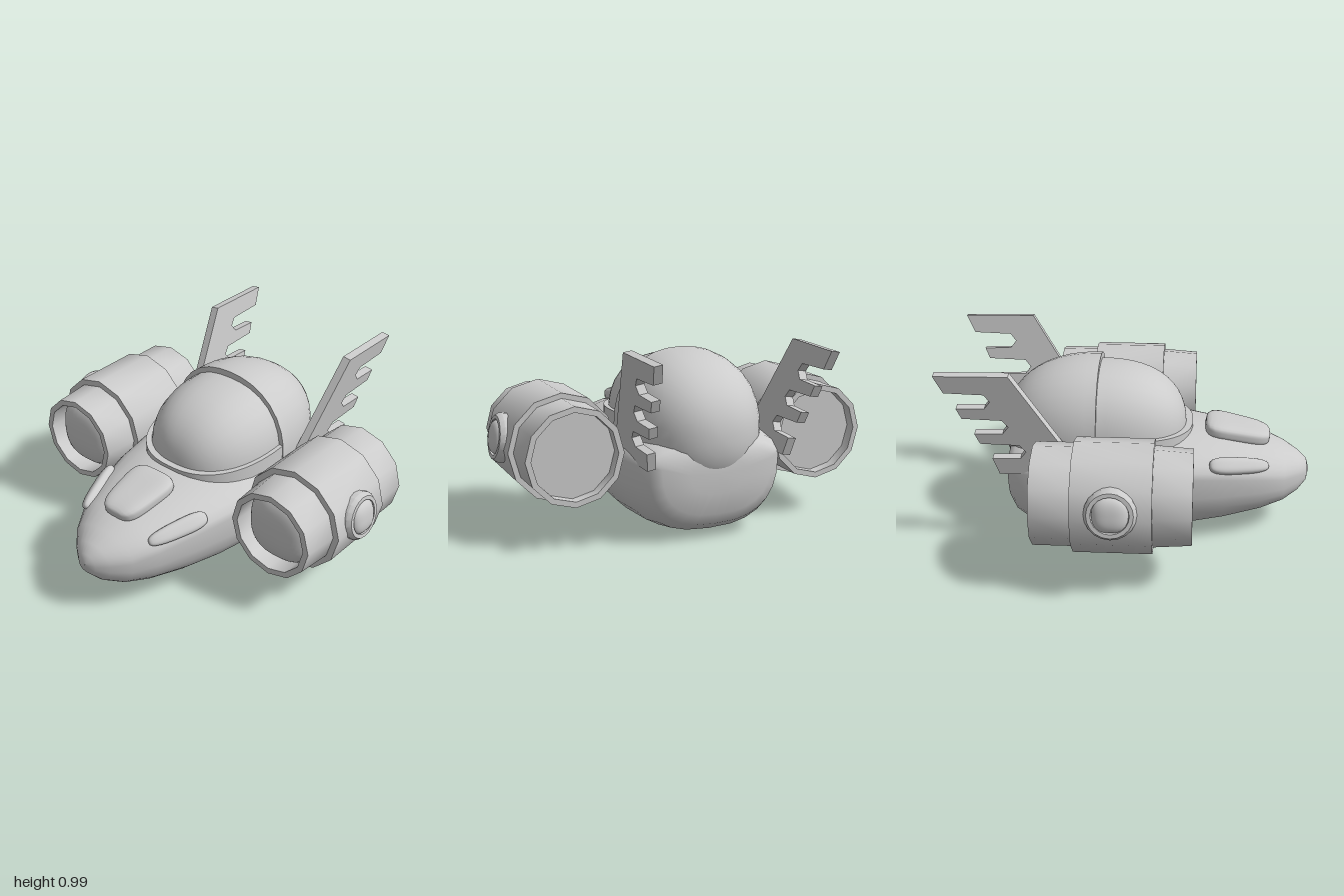
import * as THREE from 'three';
import { mergeVertices, toCreasedNormals } from 'three/addons/utils/BufferGeometryUtils.js';

const grey = new THREE.MeshStandardMaterial({ color: 0xcccccc });
const V = (x, y, z) => new THREE.Vector3(x, y, z);
const spow = (v, p) => Math.sign(v) * Math.abs(v) ** p;

// Skin a list of closed cross-sections
function loft(rows) {
  const n = rows[0].length, index = [];
  for (let i = 0; i < rows.length - 1; i++) {
    for (let j = 0; j < n; j++) {
      const a = i * n + j, b = i * n + (j + 1) % n;
      index.push(a, a + n, b, b, a + n, b + n);
    }
  }
  const geo = new THREE.BufferGeometry().setFromPoints(rows.flat());
  geo.setIndex(index);
  geo.computeVertexNormals();
  return geo;
}

// Squared-off ellipsoid, optionally only the half facing +z or -z, narrowing towards +z
function blob(rx, ry, rz, power, half = 0, taper = 0) {
  let geo = new THREE.SphereGeometry(1, 32, half ? 14 : 20, 0, Math.PI * 2, 0, half ? Math.PI / 2 : Math.PI);
  geo.rotateX(half < 0 ? -Math.PI / 2 : Math.PI / 2);
  const p = geo.attributes.position;
  for (let i = 0; i < p.count; i++) {
    const v = V().fromBufferAttribute(p, i);
    const sum = Math.abs(v.x) ** power + Math.abs(v.y) ** power + Math.abs(v.z) ** power;
    v.multiplyScalar(sum ** (-1 / power));
    p.setXYZ(i, v.x * rx * (1 - taper * v.z), v.y * ry, v.z * rz);
  }
  geo.deleteAttribute('uv');
  geo.deleteAttribute('normal');
  geo = mergeVertices(geo, 1e-5);
  geo.computeVertexNormals();
  return geo;
}

function lathe(points, sides) {
  const geo = new THREE.LatheGeometry(points.map(([r, h]) => new THREE.Vector2(r, h)), sides);
  return toCreasedNormals(geo, 0.6);
}

function mirrored(geo) {
  const g = mergeVertices(geo.clone().scale(-1, 1, 1));
  g.setIndex(Array.from(g.index.array).reverse());
  return g;
}

export function createModel() {
  const model = new THREE.Group();
  model.name = 'spacecraft';
  const add = (name, geo) => {
    const mesh = new THREE.Mesh(geo, grey);
    mesh.name = name;
    model.add(mesh);
  };
  const addPair = (name, geo) => {
    add('left' + name, geo);
    add('right' + name, mirrored(geo));
  };

  // Hull stations: z, half width, bottom, widest height, top
  const stations = [
    [0.96, 0.001, 0.299, 0.3, 0.301], [0.945, 0.06, 0.24, 0.3, 0.355], [0.9, 0.12, 0.19, 0.31, 0.395],
    [0.82, 0.2, 0.145, 0.32, 0.44], [0.7, 0.27, 0.105, 0.35, 0.485], [0.5, 0.342, 0.06, 0.38, 0.53],
    [0.3, 0.395, 0.03, 0.4, 0.555], [0.1, 0.425, 0.01, 0.41, 0.57], [-0.15, 0.435, 0, 0.41, 0.57],
    [-0.4, 0.42, 0.012, 0.41, 0.56], [-0.53, 0.395, 0.035, 0.41, 0.54], [-0.6, 0.355, 0.08, 0.41, 0.51],
    [-0.635, 0.3, 0.14, 0.4, 0.48], [-0.65, 0.15, 0.25, 0.36, 0.43], [-0.65, 0.001, 0.349, 0.35, 0.351],
  ];
  add('hull', loft(stations.map(([z, w, bottom, mid, top]) => {
    const ring = [];
    for (let j = 0; j < 28; j++) {
      const a = (j / 28) * Math.PI * 2, c = Math.cos(a), s = Math.sin(a);
      const p = s < 0 ? 2 / 2.6 : 1;
      ring.push(V(w * spow(c, p), mid + spow(s, p) * (s < 0 ? mid - bottom : top - mid), z));
    }
    return ring;
  })));

  // Canopy glass, rear hood with its flat front lip, and the sill around the glass
  add('canopyGlass', blob(0.345, 0.35, 0.465, 2.4, 1).translate(0, 0.53, -0.17));
  add('rearHood', blob(0.372, 0.385, 0.515, 2.25, -1).translate(0, 0.53, -0.165));
  const lip = new THREE.CircleGeometry(1, 32);
  const lp = lip.attributes.position;
  for (let i = 0; i < lp.count; i++) {
    const x = lp.getX(i), y = lp.getY(i);
    const k = (Math.abs(x) ** 2.25 + Math.abs(y) ** 2.25) ** (-1 / 2.25);
    if (i > 0) lp.setXY(i, x * k * 0.372, y * k * 0.385);
  }
  add('hoodLip', lip.translate(0, 0.53, -0.165));

  const sill = [];
  for (let i = 0; i <= 32; i++) {
    const t = (i / 32) * Math.PI;
    const c = spow(Math.cos(t), 0.83), s = spow(Math.max(0, Math.sin(t)), 0.83);
    const top = 0.6 - 0.03 * s, low = top - 0.08;
    sill.push([[0.365, 0.5, top], [0.365, 0.5, low], [0.33, 0.455, low], [0.33, 0.455, top]]
      .map(([rx, rz, y]) => V(rx * c, y, -0.17 + rz * s)));
  }
  add('canopySill', toCreasedNormals(loft(sill), 0.6));

  // Raised panels on the nose
  add('nosePanel', blob(0.125, 0.042, 0.175, 4, 0, 0.17).rotateX(0.2).translate(0, 0.524, 0.57));
  const along = V(-0.115, -0.045, 0.31).normalize();
  const across = V(0.75, 0.65, 0.2).cross(along).normalize();
  const basis = new THREE.Matrix4().makeBasis(across, along.clone().cross(across), along);
  basis.setPosition(0.28, 0.437, 0.575);
  addPair('SidePanel', blob(0.044, 0.032, 0.165, 3, 0, 0.15).applyMatrix4(basis));

  // Engine pods: stepped casing with recessed exhaust and domed intake
  const casing = lathe([
    [0, -0.38], [0.225, -0.38], [0.225, -0.44], [0.255, -0.44], [0.255, -0.24], [0.283, -0.24],
    [0.283, 0.15], [0.25, 0.15], [0.237, 0.34], [0.205, 0.34], [0.205, 0.2], [0, 0.2],
  ], 12);
  addPair('EngineCasing', casing.rotateX(Math.PI / 2).translate(0.675, 0.455, 0));
  addPair('IntakeDome', blob(0.193, 0.193, 0.11, 2.6, 1).translate(0.675, 0.455, 0.205));

  // Round caps on the outer sides of the pods
  const tilt = -Math.PI / 2 + 0.15;
  const capRing = lathe([[0.127, -0.03], [0.127, 0.03], [0.112, 0.052], [0.092, 0.052], [0.088, 0.03], [0, 0.03]], 20);
  addPair('CapRing', capRing.rotateZ(tilt).translate(0.922, 0.49, -0.045));
  const capDome = blob(0.087, 0.087, 0.045, 2.6, 1).rotateX(-Math.PI / 2);
  addPair('CapDome', capDome.rotateZ(tilt).translate(0.95, 0.494, -0.045));

  // Swept fins with three notches in the trailing edge, leaning outwards
  const outline = [[-0.22, 0], [-0.58, 0.58], [-0.955, 0.575], [-0.91, 0.48]];
  for (let i = 0; i < 3; i++) {
    const z = 0.082 * i, y = 0.48 - 0.148 * i;
    outline.push([-0.71 + z, y - 0.006], [-0.68 + z, y - 0.045], [-0.71 + z, y - 0.085],
      [-0.855 + z, y - 0.09], [-0.83 + z, y - 0.148]);
  }
  outline[outline.length - 1] = [-0.66, 0];
  const shape = new THREE.Shape(outline.map(([z, y]) => new THREE.Vector2(z, y)));
  const fin = new THREE.ExtrudeGeometry(shape, { depth: 0.045, bevelEnabled: false });
  fin.translate(0, 0, -0.0225).rotateY(-Math.PI / 2).rotateZ(-0.155).translate(0.367, 0.413, 0);
  addPair('Fin', fin);

  return model;
}
